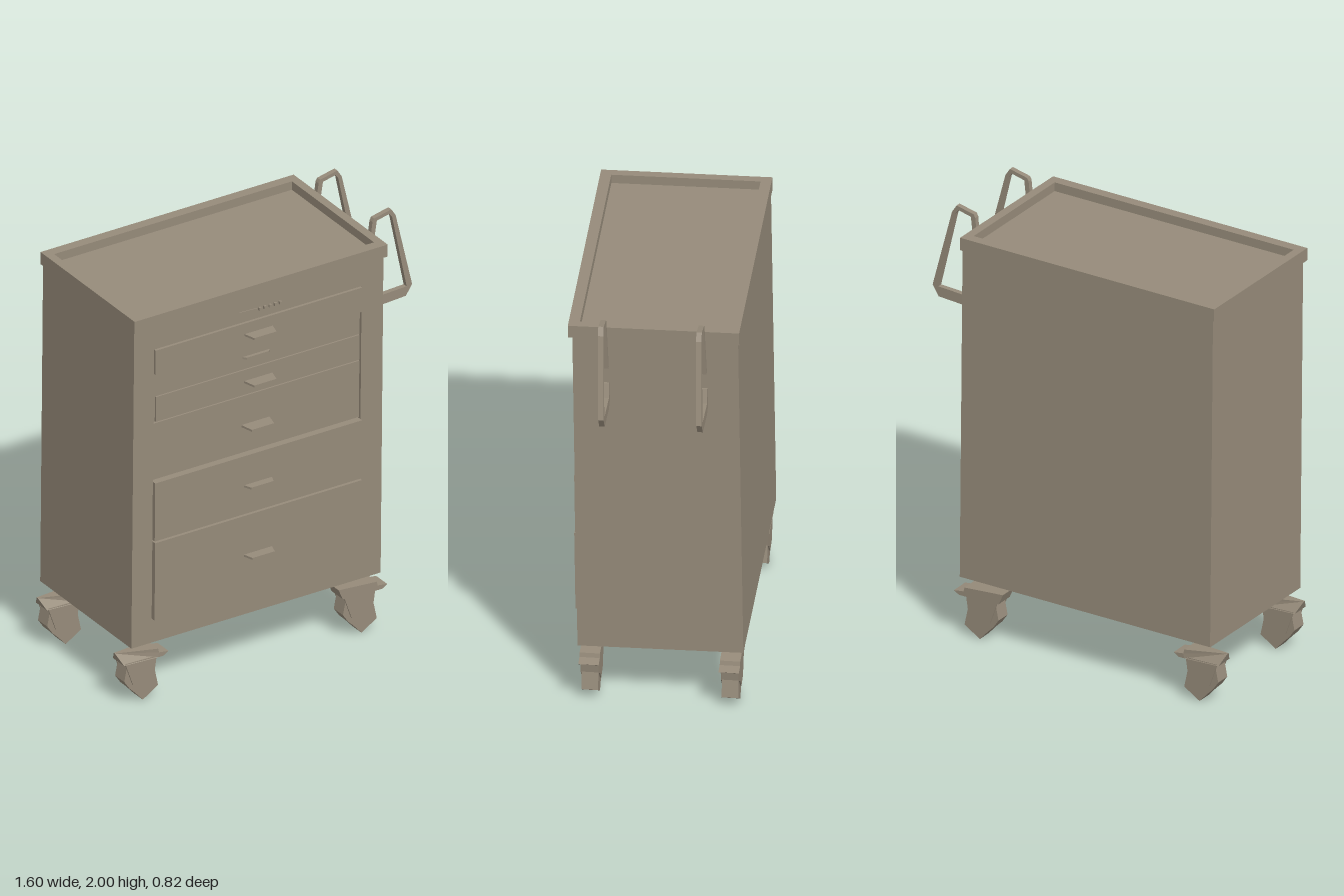
import * as THREE from 'three';

const metal = new THREE.MeshStandardMaterial({ color: 0x968b7a });
metal.name = 'warm grey metal';

function add(parent, name, geometry, x = 0, y = 0, z = 0) {
  const mesh = new THREE.Mesh(geometry, metal);
  mesh.name = name;
  mesh.position.set(x, y, z);
  parent.add(mesh);
  return mesh;
}

const outline = (pts) => new THREE.Shape(pts.map(([x, y]) => new THREE.Vector2(x, y)));
const rect = (x0, y0, x1, y1) => [[x0, y0], [x1, y0], [x1, y1], [x0, y1]];
const extrude = (shape, depth) => new THREE.ExtrudeGeometry(shape, { depth, bevelEnabled: false });

// Box given by its two opposite corners
function slab(parent, name, x0, x1, y0, y1, z0, z1) {
  return add(parent, name, new THREE.BoxGeometry(x1 - x0, y1 - y0, z1 - z0),
    (x0 + x1) / 2, (y0 + y1) / 2, (z0 + z1) / 2);
}

// Flat ring: outer rectangle with a rectangular hole
function ring(outer, inner, depth) {
  const shape = outline(rect(...outer));
  shape.holes.push(outline(rect(...inner)));
  return extrude(shape, depth);
}

function createCabinet() {
  const cabinet = new THREE.Group();
  cabinet.name = 'cabinet';
  // Inner group keeps heights measured from the floor while the cabinet leans slightly
  const inner = new THREE.Group();
  inner.name = 'cabinetParts';
  inner.position.y = -1.08;
  cabinet.add(inner);
  cabinet.position.set(0, 1.08, -0.03);
  cabinet.rotation.x = 0.0145;

  // Case and front frame around the drawer opening
  slab(inner, 'case', -0.75, 0.555, 0.285, 1.875, -0.366, 0.346);
  add(inner, 'frontFrame', ring([-0.75, 0.285, 0.555, 1.875], [-0.645, 0.4, 0.442, 1.75], 0.02), 0, 0, 0.346);

  // Worktop: tray floor and raised rim
  slab(inner, 'trayFloor', -0.74, 0.545, 1.87, 1.888, -0.36, 0.36);
  const rim = add(inner, 'trayRim', ring([-0.76, -0.384, 0.565, 0.372], [-0.72, -0.335, 0.525, 0.324], 0.06), 0, 1.87, 0);
  rim.rotation.x = -Math.PI / 2;

  // Drawers: left, bottom, top, front depth, pull centre x, height, reach
  const drawers = [
    [-0.643, 1.627, 1.748, 0.376, -0.103, 1.69, 0.43],
    [-0.643, 1.507, 1.623, 0.356, -0.103, 1.565, 0.371],
    [-0.625, 1.378, 1.502, 0.356, -0.09, 1.442, 0.414],
    [-0.641, 1.092, 1.373, 0.356, -0.103, 1.226, 0.418],
    [-0.643, 0.797, 1.087, 0.382, -0.103, 0.937, 0.418],
    [-0.643, 0.403, 0.79, 0.386, -0.103, 0.592, 0.432],
  ];
  drawers.forEach(([left, bottom, top, front, px, py, reach], i) => {
    slab(inner, `drawer${i + 1}`, left, 0.44, bottom, top, 0.34, front);
    // Tapered pull plate
    const back = front - 0.005;
    const pull = outline([[-0.075, -back], [-0.058, -reach], [0.058, -reach], [0.075, -back]]);
    const plate = add(inner, `drawerPull${i + 1}`, extrude(pull, 0.01), px, py - 0.005, 0);
    plate.rotation.x = -Math.PI / 2;
  });

  // Small indicator row above the drawers
  const streak = outline([[-0.2, 1.805], [-0.11, 1.795], [-0.11, 1.802]]);
  add(inner, 'indicatorStreak', extrude(streak, 0.006), 0, 0, 0.364);
  for (let i = 0; i < 5; i++) {
    const x = -0.095 + i * 0.027;
    slab(inner, `indicator${i + 1}`, x - 0.006, x + 0.006, 1.789, 1.803, 0.36, 0.376);
  }
  return cabinet;
}

// Open side bracket with a heavy lower arm
function createBracket(parent, name, z) {
  const shape = outline([
    [0.553, 1.72], [0.582, 1.965], [0.59, 1.98], [0.68, 2.0], [0.703, 1.965], [0.797, 1.59],
    [0.765, 1.54], [0.6, 1.53], [0.553, 1.55], [0.553, 1.64], [0.565, 1.64], [0.585, 1.578],
    [0.768, 1.587], [0.685, 1.96], [0.67, 1.98], [0.605, 1.965], [0.572, 1.72],
  ]);
  const geometry = extrude(shape, 0.024);
  // Lean towards the back at the bottom
  const p = geometry.attributes.position;
  for (let i = 0; i < p.count; i++) p.setZ(i, p.getZ(i) - 0.012 + (p.getY(i) - 1.77) * 0.03);
  add(parent, name, geometry, 0, 0, z);
}

// Caster with a sloped top plate and a rough faceted wheel
function createCaster(parent, name, x, z, pointed) {
  const caster = new THREE.Group();
  caster.name = name;
  caster.position.set(x, 0, z);
  parent.add(caster);

  const plate = extrude(outline([
    [-0.13, 0.25], [-0.108, 0.2], [0.07, 0.192], [0.1, 0.192], [0.125, 0.208], [0.075, 0.215], [0.07, 0.235],
  ]), 0.09);
  plate.translate(0, 0, -0.045);
  if (pointed) {
    // Pinch the outer end to a point
    const p = plate.attributes.position;
    for (let i = 0; i < p.count; i++) if (p.getX(i) < -0.12) p.setZ(i, p.getZ(i) * 0.1);
    plate.computeVertexNormals();
  }
  add(caster, 'casterPlate', plate);

  const wheel = extrude(outline([
    [-0.085, 0.2], [-0.102, 0.115], [-0.075, 0.075], [-0.045, 0.045], [-0.005, 0.0],
    [0.075, 0.05], [0.058, 0.13], [0.068, 0.2],
  ]), 0.074);
  add(caster, 'casterWheel', wheel, 0, 0, -0.037);

  // Fork cheeks on both sides of the wheel
  const cheek = outline([[-0.1, 0.205], [-0.06, 0.09], [0, 0.07], [0.045, 0.12], [0.06, 0.2]]);
  for (const side of [-1, 1]) add(caster, 'casterFork', extrude(cheek, 0.006), 0, 0, side * 0.04 - 0.003);
}

export function createModel() {
  const model = new THREE.Group();
  model.name = 'drawerCart';
  model.add(createCabinet());
  createBracket(model, 'frontBracket', 0.2);
  createBracket(model, 'backBracket', -0.233);
  for (const [end, z] of [['front', 0.272], ['back', -0.347]]) {
    createCaster(model, `${end}RightCaster`, -0.675, z, true);
    createCaster(model, `${end}LeftCaster`, 0.47, z, false);
  }
  return model;
}
